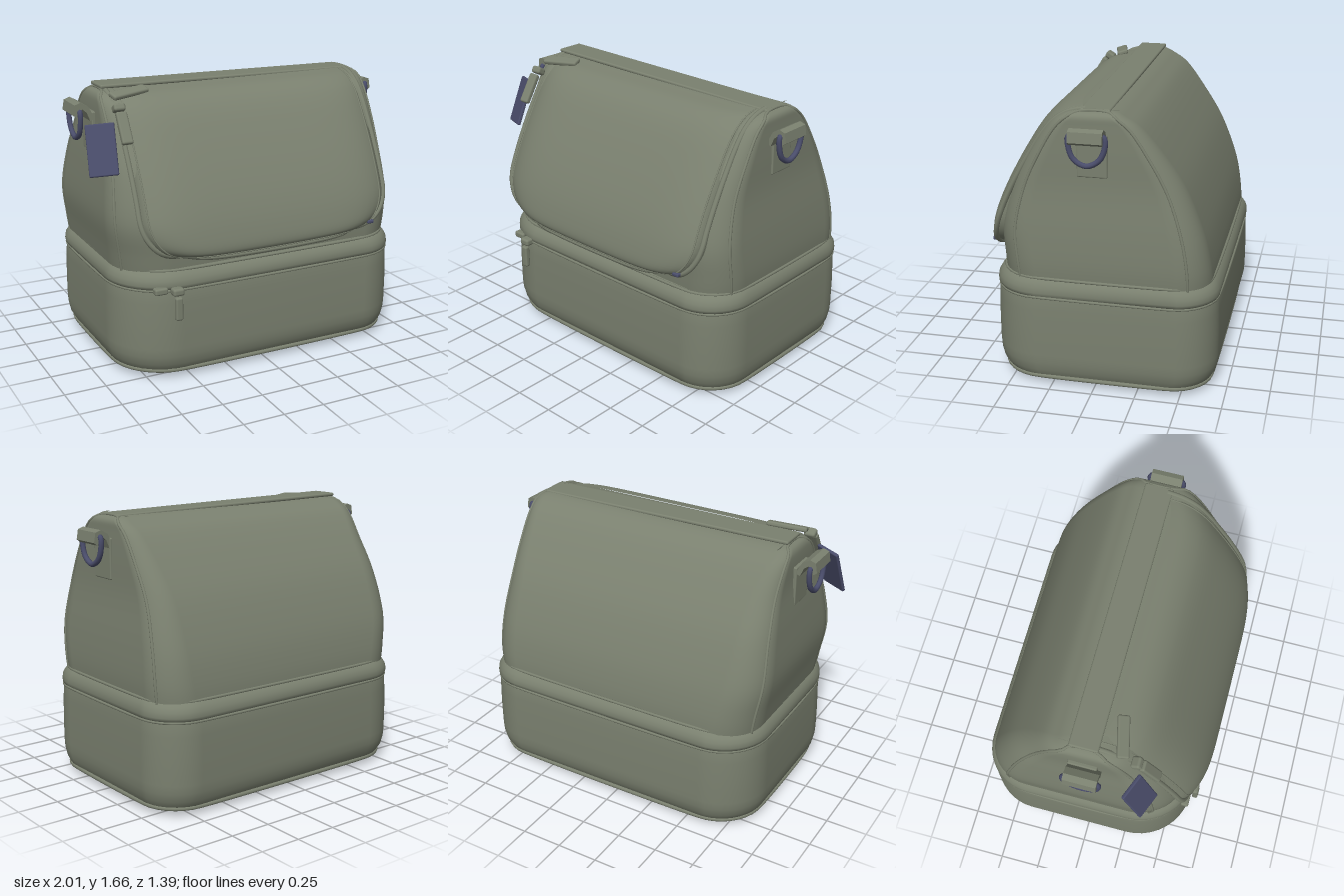
import * as THREE from 'three';
import { RoundedBoxGeometry } from 'three/addons/geometries/RoundedBoxGeometry.js';

const fabric = new THREE.MeshStandardMaterial({ color: 0x7a806f });
fabric.name = 'olive fabric';
const navy = new THREE.MeshStandardMaterial({ color: 0x4a4d6b });
navy.name = 'navy trim';

const V = (x, y, z) => new THREE.Vector3(x, y, z);

function add(parent, name, geometry, material = fabric) {
  const mesh = new THREE.Mesh(geometry, material);
  mesh.name = name;
  parent.add(mesh);
  return mesh;
}

function buffer(positions, index) {
  const g = new THREE.BufferGeometry();
  g.setAttribute('position', new THREE.Float32BufferAttribute(positions, 3));
  g.setIndex(index);
  g.computeVertexNormals();
  return g;
}

// The soft corners differ: front left, front right, back right, back left
const cornerScale = [1.12, 1.42, 1.22, 1];

// Horizontal rounded rectangle; station = [y, xLow, xHigh, zFront, zBack, cornerRadius]
function section([y, x0, x1, z1, z0, r0], steps = 10) {
  const limit = Math.min((x1 - x0) / 2, (z1 - z0) / 2);
  return cornerScale.flatMap((scale, q) => {
    const r = Math.min(r0 * scale, limit);
    const cx = q === 0 || q === 3 ? x1 - r : x0 + r;
    const cz = q < 2 ? z1 - r : z0 + r;
    return Array.from({ length: steps + 1 }, (_, i) => {
      const a = (q + i / steps) * Math.PI / 2;
      return V(cx + r * Math.cos(a), y, cz + r * Math.sin(a));
    });
  });
}

// Closed skin through stacked sections
function loft(stations) {
  const rings = stations.map(s => section(s));
  const n = rings[0].length, pos = [], index = [];
  rings.forEach(ring => ring.forEach(p => pos.push(p.x, p.y, p.z)));
  for (let i = 0; i < rings.length - 1; i++) {
    for (let j = 0; j < n; j++) {
      const a = i * n + j, b = i * n + (j + 1) % n;
      index.push(a, a + n, b, b, a + n, b + n);
    }
  }
  [0, rings.length - 1].forEach((ri, top) => {
    const c = pos.length / 3, s = stations[ri];
    pos.push((s[1] + s[2]) / 2, s[0], (s[3] + s[4]) / 2);
    for (let j = 0; j < n; j++) {
      const a = ri * n + j, b = ri * n + (j + 1) % n;
      if (top) index.push(c, b, a); else index.push(c, a, b);
    }
  });
  return buffer(pos, index);
}

function tube(points, radius, closed = false) {
  const curve = new THREE.CatmullRomCurve3(points, closed, 'centripetal');
  return new THREE.TubeGeometry(curve, points.length * 4, radius, 8, closed);
}

// Smooth values between key stations
function refine(keys, per = 5) {
  const out = [];
  for (let i = 0; i < keys.length - 1; i++) {
    const at = k => keys[Math.max(0, Math.min(keys.length - 1, k))];
    for (let s = 0; s < per; s++) {
      const t = s / per;
      out.push(keys[i].map((b, c) => {
        const a = at(i - 1)[c], d = at(i + 1)[c], e = at(i + 2)[c];
        return b + 0.5 * t * (d - a + t * (2 * a - 5 * b + 4 * d - e + t * (3 * (b - d) + e - a)));
      }));
    }
  }
  out.push(keys[keys.length - 1]);
  return out;
}

const upperKeys = [
  [0.60, -0.865, 0.92, 0.555, -0.65, 0.21], [0.75, -0.885, 0.93, 0.565, -0.64, 0.20],
  [0.95, -0.91, 0.92, 0.565, -0.595, 0.18], [1.20, -0.89, 0.895, 0.49, -0.495, 0.15],
  [1.40, -0.865, 0.89, 0.38, -0.37, 0.12], [1.55, -0.86, 0.885, 0.27, -0.25, 0.09],
  [1.61, -0.85, 0.88, 0.19, -0.165, 0.07], [1.635, -0.82, 0.85, 0.12, -0.11, 0.05],
  [1.645, -0.76, 0.80, 0.05, -0.05, 0.03],
];

function addUpperBody(bag) {
  add(bag, 'upperCompartment', loft(refine(upperKeys)));
  // Arched seams bordering both end panels
  for (const side of [1, -1]) {
    const a = 0.45, front = [], back = [];
    const [kf, kb] = side > 0 ? [cornerScale[0], cornerScale[3]] : [cornerScale[1], cornerScale[2]];
    for (const [y, x0, x1, z1, z0, r] of upperKeys.slice(0, -1)) {
      const x = k => (side > 0 ? x1 : x0) - side * r * k * (1 - Math.cos(a));
      const drop = k => r * k * (1 - Math.sin(a));
      front.push(V(x(kf), y, z1 - drop(kf)));
      back.unshift(V(x(kb), y, z0 + drop(kb)));
    }
    add(bag, 'endPanelSeam', tube([...front, ...back], 0.009));
  }
  // Flat strap along the ridge, slightly higher at the right end
  const strap = add(bag, 'ridgeStrap', new RoundedBoxGeometry(1.66, 0.022, 0.17, 3, 0.01));
  strap.position.set(0.01, 1.647, 0);
  strap.rotation.z = -0.012;
  // Folded end of the flap zip
  const fold = add(bag, 'zipEndFold', new RoundedBoxGeometry(0.24, 0.03, 0.07, 3, 0.012));
  fold.position.set(-0.69, 1.635, 0.19);
  fold.rotation.set(0.3, 0.25, 0);
}

function addLowerBody(bag) {
  const box = (y, inset, r = 0.25) =>
    [y, -0.905 + inset, 0.96 - inset * 0.8, 0.62 - inset, -0.69 + inset, r - inset * 0.5];
  add(bag, 'lowerCompartment', loft([
    box(0.006, 0.16), box(0.012, 0.1), box(0.03, 0.06), box(0.06, 0.036), box(0.1, 0.014),
    box(0.15, 0.003), box(0.2, 0), box(0.35, 0), box(0.48, 0.004), box(0.55, 0.008), box(0.6, 0.02),
  ]));
  add(bag, 'zipCover', loft([
    box(0.565, 0.02), box(0.57, 0.005), box(0.59, 0), box(0.62, 0.004), box(0.645, 0.018),
    box(0.665, 0.036), box(0.675, 0.06),
  ]));
  const ring = (y, inset) => section(box(y, inset), 6);
  add(bag, 'basePiping', tube(ring(0.052, 0.04), 0.013, true));
  add(bag, 'zipSeam', tube(ring(0.562, 0.009), 0.008, true));
  add(bag, 'upperSeam', tube(ring(0.67, 0.044), 0.009, true));
}

// Front flap: curved sheet with rounded lower corners and a skirt back to the body
function addFlap(bag) {
  const path = new THREE.CatmullRomCurve3([
    V(0, 0.755, 0.67), V(0, 0.79, 0.692), V(0, 0.9, 0.675), V(0, 1.08, 0.61),
    V(0, 1.35, 0.468), V(0, 1.55, 0.33), V(0, 1.62, 0.23), V(0, 1.642, 0.13),
  ]);
  const R = 0.24, rows = 40, cols = 32, depth = 0.2, pos = [], index = [];
  const halfWidth = y => {
    const d = Math.max(0, R - (y - 0.755));
    return 0.80 - R + Math.sqrt(Math.max(0, R * R - d * d));
  };
  const point = (v, u) => {
    const p = path.getPoint(v ** 1.5);
    const sag = 0.015 * (1 - u * u) * (1 - v);
    const fall = u < 0 ? 0.095 : 0.075;
    return V(0.01 + u * halfWidth(p.y), p.y - sag, p.z - fall * Math.abs(u) ** 7);
  };
  for (let i = -1; i <= rows; i++) {
    for (let j = -1; j <= cols + 1; j++) {
      const u = Math.max(0, Math.min(cols, j)) / cols * 2 - 1;
      const p = point(Math.max(0, i) / rows, u);
      const skirt = i < 0 || j < 0 || j > cols;
      pos.push(p.x, p.y, p.z - (skirt ? depth : 0));
    }
  }
  const n = cols + 3;
  for (let i = 0; i <= rows; i++) {
    for (let j = 0; j < n - 1; j++) {
      const a = i * n + j;
      index.push(a, a + 1, a + n, a + 1, a + n + 1, a + n);
    }
  }
  add(bag, 'frontFlap', buffer(pos, index));

  // Piping around the flap and a finer seam inside it
  const edge = (k, v0) => {
    const pts = [];
    for (let i = 20; i >= 0; i--) pts.push(point(v0 + (1 - v0) * i / 20, -k));
    for (let j = 1; j < 12; j++) pts.push(point(v0, k * (j / 6 - 1)));
    for (let i = 0; i <= 20; i++) pts.push(point(v0 + (1 - v0) * i / 20, k));
    return pts;
  };
  add(bag, 'flapPiping', tube(edge(1, 0), 0.016));
  add(bag, 'flapSeam', tube(edge(0.95, 0.13), 0.005));
  // Small navy end of the flap zip
  add(bag, 'flapZipEnd', new RoundedBoxGeometry(0.045, 0.022, 0.05, 2, 0.008), navy).position.set(0.68, 0.795, 0.632);
}

// Folded webbing and a D-shaped ring on each end
function addRingMount(bag, side) {
  const mount = new THREE.Group();
  mount.name = side > 0 ? 'leftRingMount' : 'rightRingMount';
  const x = side > 0 ? 0 : -0.02;
  const tab = add(mount, 'webbingTab', new RoundedBoxGeometry(0.03, 0.24, 0.17, 2, 0.008));
  tab.position.set(side * (0.886 + x), 1.4, 0.005);
  // Band arching out of the end panel and over the ring
  const arch = new THREE.Shape();
  const rim = [[0.87, 1.47], [0.91, 1.545], [0.955, 1.57], [0.99, 1.558], [1.0, 1.5],
    [0.98, 1.485], [0.945, 1.53], [0.92, 1.51], [0.9, 1.46]];
  arch.setFromPoints(rim.map(([px, py]) => new THREE.Vector2(side * px, py + (side < 0 ? 0.015 : 0))));
  const band = new THREE.ExtrudeGeometry(arch, { depth: 0.19, bevelEnabled: false });
  add(mount, 'webbingLoop', band).position.z = -0.075;
  const shape = [[0.115, 1.53], [0.118, 1.47], [0.09, 1.4], [0.02, 1.365],
    [-0.05, 1.4], [-0.082, 1.47], [-0.078, 1.53], [0.02, 1.535]];
  add(mount, 'metalRing', tube(shape.map(([z, y]) => V(side * 0.96, y, z)), 0.016, true), navy);
  bag.add(mount);
}

function addZipPull(bag, name, x, y, z, width, height, lean) {
  const pull = new THREE.Group();
  pull.name = name;
  add(pull, 'slider', new RoundedBoxGeometry(0.07, 0.045, 0.06, 2, 0.015));
  add(pull, 'pullTab', new RoundedBoxGeometry(width, height, 0.035, 2, 0.012)).position.set(0, -height / 2 - 0.03, 0.016);
  pull.position.set(x, y, z);
  pull.rotation.x = lean;
  bag.add(pull);
}

export function createModel() {
  const bag = new THREE.Group();
  bag.name = 'lunchBag';
  addLowerBody(bag);
  addUpperBody(bag);
  addFlap(bag);
  addRingMount(bag, 1);
  addRingMount(bag, -1);
  addZipPull(bag, 'flapZipPull', -0.795, 1.575, 0.295, 0.066, 0.19, -0.55);
  addZipPull(bag, 'lowerZipPull', -0.6, 0.565, 0.63, 0.045, 0.14, 0);
  add(bag, 'secondSlider', new RoundedBoxGeometry(0.08, 0.04, 0.05, 2, 0.012)).position.set(-0.69, 0.57, 0.595);
  // Hanging tag beside the right end
  const tag = add(bag, 'hangTag', new RoundedBoxGeometry(0.165, 0.295, 0.022, 2, 0.008), navy);
  tag.position.set(-0.92, 1.36, 0.345);
  tag.rotation.set(-0.4, -0.4, -0.07);
  return bag;
}
